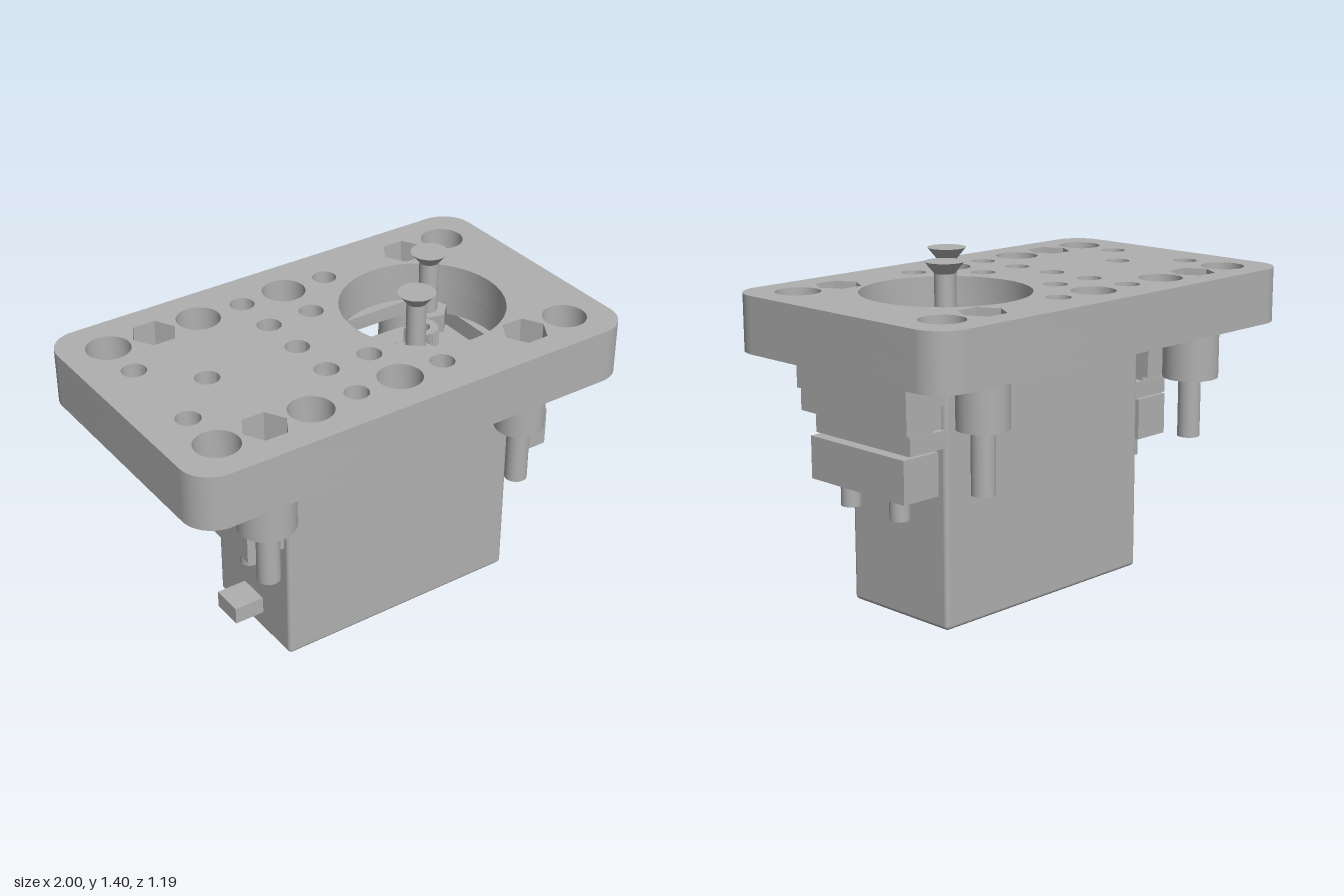
import * as THREE from 'three';
import { toCreasedNormals } from 'three/addons/utils/BufferGeometryUtils.js';
import { RoundedBoxGeometry } from 'three/addons/geometries/RoundedBoxGeometry.js';

const grey = new THREE.MeshStandardMaterial({ color: 0xb0b0b0 });
grey.name = 'plain grey';

export function createModel() {
  const model = new THREE.Group();
  model.name = 'servoMount';

  const add = (name, geometry, x = 0, y = 0, z = 0) => {
    const mesh = new THREE.Mesh(geometry, grey);
    mesh.name = name;
    mesh.position.set(x, y, z);
    model.add(mesh);
    return mesh;
  };
  // box from its limits, centred on z
  const box = (name, x0, x1, y0, y1, halfZ, cz = 0) =>
    add(name, new THREE.BoxGeometry(x1 - x0, y1 - y0, halfZ * 2), (x0 + x1) / 2, (y0 + y1) / 2, cz);
  // upright cylinder or cone between two heights
  const post = (name, x, z, y0, y1, rTop, rBottom = rTop, sides = 32) =>
    add(name, new THREE.CylinderGeometry(rTop, rBottom, y1 - y0, sides), x, (y0 + y1) / 2, z);

  // holes: [x, z, radius]
  const circle = ([x, z, r]) => new THREE.Path().absarc(x, -z, r, 0, Math.PI * 2, true);
  const hex = (x, z, r) => {
    const pts = [];
    for (let i = 0; i < 6; i++) {
      const a = -i * Math.PI / 3;
      pts.push(new THREE.Vector2(x + r * Math.cos(a), -z + r * Math.sin(a)));
    }
    return new THREE.Path(pts);
  };
  const through = [], recesses = [];
  for (const z of [-0.405, 0.405]) {
    for (const x of [-0.81, -0.405, 0, 0.81]) through.push(circle([x, z, 0.09]));
    for (const x of [-0.2, 0.2]) through.push(circle([x, z, 0.05]));
    for (const x of [-0.607, 0.607]) recesses.push(hex(x, z, 0.095));
    for (const x of [-0.81, -0.2, 0]) recesses.push(circle([x, z / 2, 0.05]));
  }
  recesses.push(circle([-0.607, 0, 0.05]), circle([-0.2, 0, 0.05]));
  const opening = circle([0.405, 0, 0.34]);

  // one slice of the rounded top plate
  const slice = (name, y0, y1, holes) => {
    const w = 1, h = 0.593, r = 0.13;
    const s = new THREE.Shape();
    s.absarc(w - r, h - r, r, 0, Math.PI / 2);
    s.absarc(-w + r, h - r, r, Math.PI / 2, Math.PI);
    s.absarc(-w + r, -h + r, r, Math.PI, Math.PI * 1.5);
    s.absarc(w - r, -h + r, r, Math.PI * 1.5, Math.PI * 2);
    s.holes.push(...holes);
    const g = new THREE.ExtrudeGeometry(s, { depth: y1 - y0, bevelEnabled: false, curveSegments: 20 });
    g.rotateX(-Math.PI / 2);
    add(name, toCreasedNormals(g, 0.6), 0, y0, 0);
  };
  // pocket under the plate that clears the servo: circle cut off by two flats
  const flat = Math.asin(0.295 / 0.34);
  const pocket = new THREE.Path();
  pocket.absarc(0.405, 0, 0.34, flat, -flat, true);
  pocket.absarc(0.405, 0, 0.34, -Math.PI + flat, Math.PI - flat, true);
  pocket.closePath();
  slice('plateTop', 1.13, 1.26, [...through, ...recesses, opening]);
  slice('plateMiddle', 1.09, 1.13, [...through, opening]);
  slice('plateBottom', 1.03, 1.09, [...through, pocket]);

  // bosses with their screws
  for (const z of [-0.405, 0.405]) {
    post('leftBoss', 0.607, z, 0.82, 1.03, 0.103);
    post('rightBoss', -0.61, z, 0.82, 1.03, 0.117);
    for (const x of [-0.607, 0.607]) post('bossScrew', x, z, 0.565, 1.16, 0.047);
  }

  // servo body with mounting ears and cable stub
  add('servoBody', new RoundedBoxGeometry(1.105, 1, 0.54, 3, 0.018), 0.12, 0.5, 0);
  box('servoEars', -0.61, 0.85, 0.73, 0.8, 0.268);
  box('cableStub', -0.565, -0.42, 0.09, 0.165, 0.07);

  // stepped spacers above the ears, clamps below them
  for (const [x0, x1] of [[-0.78, -0.45], [0.71, 0.905]]) {
    box('spacerTop', x0, x1, 0.91, 1.03, 0.31);
    box('spacerBottom', x0 + 0.01, x1 - 0.01, 0.82, 0.91, 0.3);
  }
  for (const [x0, x1, cx] of [[-0.615, -0.447, -0.53], [0.705, 0.88, 0.79]]) {
    box('earPad', cx - 0.06, cx + 0.06, 0.8, 0.82, 0.265);
    box('clampBlock', x0, x1, 0.55, 0.722, 0.265);
    for (const z of [-0.14, 0.14]) post('clampScrew', cx, z, 0.45, 0.82, 0.04);
  }

  // output shaft: collar, toothed spline and screw hole
  post('shaftCollar', 0.405, 0, 1, 1.08, 0.1);
  const gear = new THREE.Shape();
  for (let i = 0; i < 48; i++) {
    const a = i / 48 * Math.PI * 2, r = i % 2 ? 0.064 : 0.073;
    gear[i ? 'lineTo' : 'moveTo'](r * Math.cos(a), r * Math.sin(a));
  }
  gear.holes.push(circle([0, 0, 0.035]));
  const spline = new THREE.ExtrudeGeometry(gear, { depth: 0.07, bevelEnabled: false });
  spline.rotateX(-Math.PI / 2);
  add('outputSpline', spline, 0.405, 1.08, 0);

  // countersunk screws with hex nuts beside the shaft
  for (const s of [-1, 1]) {
    const x = 0.405 - s * 0.122, z = s * 0.122;
    post('hornScrewShank', x, z, 1.02, 1.37, 0.04);
    post('hornScrewHead', x, z, 1.36, 1.405, 0.077, 0.04);
    const nut = post('hornNut', x, z, 1.06, 1.14, 0.085, 0.085, 6);
    nut.rotation.y = Math.PI / 12;
  }
  return model;
}
